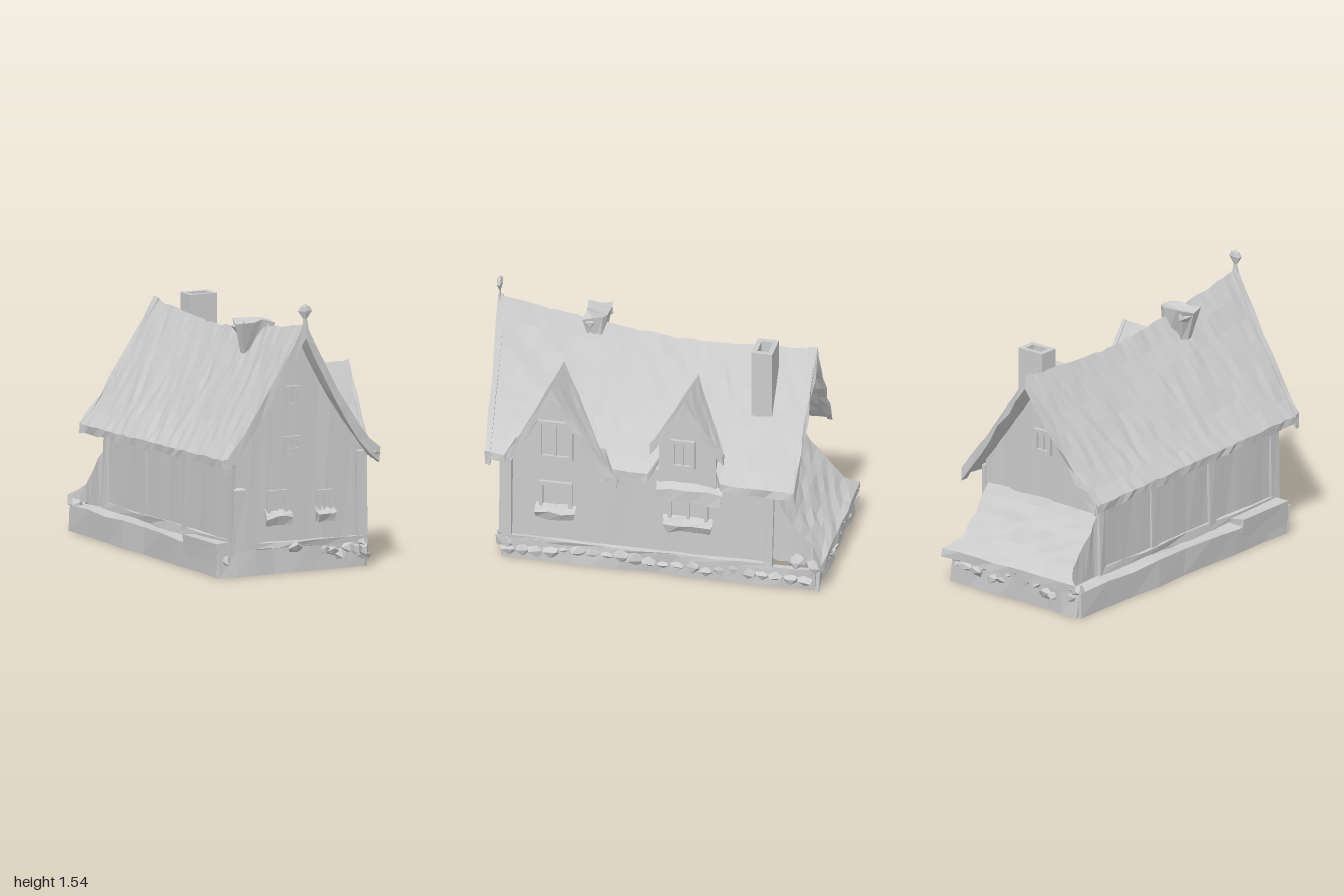
import * as THREE from 'three';

// Double sided: the house is a hollow shell, open underneath
const material = new THREE.MeshStandardMaterial({ color: 0xcccccc, flatShading: true, side: THREE.DoubleSide });
const lerp = THREE.MathUtils.lerp;

let seed = 7;
const rand = () => (seed = (seed * 16807) % 2147483647) / 2147483647;

// Position-based noise, so vertices that coincide move together
const noise = (x, y, z, k) => {
  const s = Math.sin(Math.round(x * 500) * 12.9 + Math.round(y * 500) * 78.2 + Math.round(z * 500) * 37.7 + k * 4.1) * 437.58;
  return s - Math.floor(s) - 0.5;
};

function add(parent, name, geometry, x = 0, y = 0, z = 0) {
  const mesh = new THREE.Mesh(geometry, material);
  mesh.name = name;
  mesh.position.set(x, y, z);
  parent.add(mesh);
  return mesh;
}

// Box grid whose vertices follow rule(u, v, top) -> [x, y, z], then roughened.
// openSides lists box sides left out (3 = bottom, 4 = front, 5 = back)
function shaped(nu, nv, rule, rough = 0.008, openSides = []) {
  const g = new THREE.BoxGeometry(1, 1, 1, nu, 1, nv);
  const index = Array.from(g.index.array);
  g.setIndex(g.groups.flatMap((s, i) => (openSides.includes(i) ? [] : index.slice(s.start, s.start + s.count))));
  g.clearGroups();
  const p = g.attributes.position;
  for (let i = 0; i < p.count; i++) {
    const [x, y, z] = rule(p.getX(i) + 0.5, p.getZ(i) + 0.5, p.getY(i) > 0);
    const dy = y === 0 ? 0 : noise(x, y, z, 2) * rough;
    p.setXYZ(i, x + noise(x, y, z, 1) * rough, y + dy, z + noise(x, y, z, 3) * rough);
  }
  g.computeVertexNormals();
  return g;
}

const block = (x0, x1, y0, y1, z0, z1, rough = 0.015, nu = 1, nv = 1, openSides = []) =>
  shaped(nu, nv, (u, v, top) => [lerp(x0, x1, u), top ? y1 : y0, lerp(z0, z1, v)], rough, openSides);

// Sagging main roof: height over the plan, more curved at the front right
const HALF = 0.485;
function roofY(x, z) {
  const ridge = 1.265 + 0.165 * Math.max(0, (z + 0.2) / 1.18) ** 1.6 + 0.03 * Math.max(0, (-z - 0.2) / 0.6);
  const eave = 0.65 + 0.03 * z;
  const s = Math.min(1, Math.abs(x) / HALF);
  const bend = x < 0 ? 1.11 : 1.17 + 0.17 * z;
  return eave + (ridge - eave) * (1 - s) ** bend;
}

// Dormers: ridge z, ridge height, eave ends (front z, back z) and heights, wall span
const dormers = [
  { c: 0.58, top: 1.12, zf: 0.83, yf: 0.68, zb: 0.2, yb: 0.59, wf: 0.8, wb: 0.27 },
  { c: -0.19, top: 1.13, zf: 0.01, yf: 0.84, zb: -0.41, yb: 0.82, wf: -0.03, wb: -0.36 },
];
function dormerSide(d, z) {
  return Math.min(1, (z - d.c) / ((z > d.c ? d.zf : d.zb) - d.c));
}
function dormerY(d, z) {
  return lerp(z > d.c ? d.yf : d.yb, d.top, (1 - dormerSide(d, z)) ** 1.1);
}

function roofSlab(z0, z1, thick, nv, lift = 0, rough = 0.008) {
  return shaped(14, nv, (u, v, top) => {
    const z = lerp(z0, z1, v);
    const open = dormers.some((d) => z > d.wb && z < d.wf);
    const x = (u - 0.5) * 2 * (u > 0.5 && open ? 0.4 : HALF);
    const lean = (1 - Math.abs(x) / HALF) * 0.03 * Math.sign(z) * (Math.abs(z) > 0.79);
    return [x, roofY(x, z) + (top ? lift : -thick), z + lean];
  }, rough);
}

// Angular rubble stone
function stone(parent, name, x, y, z, r) {
  const g = new THREE.IcosahedronGeometry(r, 0);
  const p = g.attributes.position;
  const id = rand() * 50;
  for (let i = 0; i < p.count; i++) {
    const k = 1 + 0.7 * noise(p.getX(i) * 9, p.getY(i) * 9, p.getZ(i) * 9, id);
    p.setXYZ(i, p.getX(i) * k, p.getY(i) * k, p.getZ(i) * k);
  }
  g.computeVertexNormals();
  add(parent, name, g, x, Math.max(y, r * 1.1), z).scale.set(1, 0.8, 1.15);
}

// Window facing +z: frame with a hole, pane, mullion and optional wedge-shaped planter
function windowUnit(parent, name, w, h, x, y, z, turn, planter) {
  const unit = new THREE.Group();
  unit.name = name;
  const rect = (Type, a, b) => {
    const s = new Type();
    s.moveTo(-a, -b); s.lineTo(a, -b); s.lineTo(a, b); s.lineTo(-a, b); s.closePath();
    return s;
  };
  const frame = rect(THREE.Shape, w / 2, h / 2);
  frame.holes.push(rect(THREE.Path, w / 2 - 0.022, h / 2 - 0.022));
  add(unit, 'frame', new THREE.ExtrudeGeometry(frame, { depth: 0.022, bevelEnabled: false }));
  add(unit, 'pane', new THREE.BoxGeometry(w * 0.9, h * 0.9, 0.008));
  add(unit, 'mullion', new THREE.BoxGeometry(0.014, h * 0.9, 0.03));
  if (planter) {
    add(unit, 'planter', shaped(3, 2, (u, v, top) => [
      (u - 0.5) * w * (top ? 1.25 : 1.05), -h / 2 + (top ? 0.06 - 0.04 * v : -0.025), v * (top ? 0.06 : 0.04),
    ], 0.02));
  }
  unit.position.set(x, y, z);
  unit.rotation.y = turn;
  parent.add(unit);
}

export function createModel() {
  const house = new THREE.Group();
  house.name = 'cottage';

  // Foundation ring, left ledge and raised block
  add(house, 'foundationRight', block(0.425, 0.45, 0, 0.13, -0.93, 0.87, 0.02, 1, 14, [3]));
  add(house, 'foundationFront', block(-0.49, 0.45, 0, 0.16, 0.845, 0.87, 0.02, 8, 1, [3]));
  add(house, 'foundationBack', block(-0.47, 0.45, 0, 0.15, -0.95, -0.925, 0.02, 8, 1, [3]));
  add(house, 'leftLedge', block(-0.49, -0.39, 0, 0.155, -0.94, 0.86, 0.02, 1, 8));
  add(house, 'raisedLedge', block(-0.495, -0.385, 0.05, 0.19, 0.45, 0.84, 0.02));

  // Rubble stones around the base
  const rubble = new THREE.Group();
  rubble.name = 'rubble';
  house.add(rubble);
  for (let i = 0; i < 22; i++) stone(rubble, 'stone', 0.43, 0.05 + rand() * 0.04, 0.83 - i * 0.081, 0.038 + rand() * 0.018);
  for (let i = 0; i < 6; i++) stone(rubble, 'stone', 0.18 + i * 0.05, 0.06 + rand() * 0.06, 0.845, 0.048);
  for (let i = 0; i < 14; i++) stone(rubble, 'stone', -0.42 + i * 0.064, 0.09 + rand() * 0.08, -0.935, 0.035 + rand() * 0.015);
  for (const [x, y, z] of [[-0.44, 0.1, 0.84], [0.42, 0.15, 0.85], [0.43, 0.15, -0.93], [-0.44, 0.15, -0.93], [0.43, 0.17, -0.82]]) {
    stone(rubble, 'cornerStone', x, y, z, 0.045);
  }
  stone(rubble, 'frontStone', -0.01, 0.14, 0.86, 0.045);

  // Hollow walls following the roof underside, and the back gable
  add(house, 'walls', shaped(12, 14, (u, v, top) => {
    const x = lerp(-0.39, 0.43, u), z = lerp(-0.68, 0.86, v);
    return [x, top ? roofY(x, z) - 0.04 : 0.1, z];
  }, 0.008, [3, 5]));
  add(house, 'backGable', shaped(12, 1, (u, v, top) => {
    const x = lerp(-0.39, 0.43, u);
    return [x, top ? roofY(x, -0.68) - 0.04 : 0.46, lerp(-0.685, -0.665, v)];
  }));

  // Corner posts, side posts and sill beams
  for (const z of [0.84, 0.3, -0.2, -0.66]) add(house, 'leftPost', block(-0.405, -0.38, 0.14, 0.64, z - 0.03, z + 0.03));
  for (const z of [0.84, -0.66]) add(house, 'rightPost', block(0.42, 0.45, 0.12, 0.63, z - 0.03, z + 0.03));
  add(house, 'frontPost', block(-0.4, -0.33, 0.14, 0.5, 0.85, 0.885));
  add(house, 'frontPost', block(0.38, 0.44, 0.14, 0.66, 0.85, 0.88));
  add(house, 'frontSill', block(-0.4, 0.44, 0.145, 0.18, 0.84, 0.885, 0.015, 6));
  add(house, 'leftSill', block(-0.41, -0.38, 0.16, 0.2, -0.68, 0.86, 0.015, 1, 8));
  add(house, 'rightSill', block(0.42, 0.455, 0.11, 0.14, -0.68, 0.86, 0.015, 1, 8));

  // Main roof with bargeboards at both gables
  add(house, 'roof', roofSlab(-0.805, 0.95, 0.045, 34, 0, 0.011));
  add(house, 'frontBargeboard', roofSlab(0.925, 0.96, 0.08, 1, 0.008));
  add(house, 'backBargeboard', roofSlab(-0.815, -0.79, 0.06, 1, 0.006, 0.02));
  for (const s of [-1, 1]) stone(house, 'eaveEnd', s * 0.455, 0.65, 0.935, 0.034);

  // Gabled dormers on the right slope
  for (const d of dormers) {
    const dormer = new THREE.Group();
    dormer.name = 'dormer';
    house.add(dormer);
    const valley = (z) => 0.14 + 0.3 * dormerSide(d, z);
    add(dormer, 'dormerWall', shaped(2, 8, (u, v, top) => {
      const z = lerp(d.wb, d.wf, v);
      return [lerp(Math.min(valley(z) + 0.03, 0.4), 0.435, u), top ? dormerY(d, z) - 0.03 : 0.54, z];
    }, 0.004, [3]));
    const cover = (x1, depth, thick, lift) => shaped(depth ? 1 : 4, 12, (u, v, top) => {
      const z = v < 0.5 ? lerp(d.zb, d.c, v * 2) : lerp(d.c, d.zf, v * 2 - 1);
      return [lerp(depth ? x1 - depth : valley(z), x1, u), dormerY(d, z) + (top ? lift : -thick), z];
    }, 0.006);
    add(dormer, 'dormerRoof', cover(0.48, 0, 0.035, 0));
    add(dormer, 'dormerBargeboard', cover(0.487, 0.025, 0.06, 0.005));
  }
  add(house, 'dormerLedge', shaped(1, 4, (u, v, top) => [
    lerp(0.41, 0.475, u), (top ? 0.6 : 0.53) - 0.04 * u, lerp(-0.4, -0.02, v),
  ], 0.02));

  // Windows
  windowUnit(house, 'frontLeftWindow', 0.13, 0.17, -0.12, 0.39, 0.86, 0, true);
  windowUnit(house, 'frontRightWindow', 0.1, 0.15, 0.18, 0.38, 0.86, 0, true);
  windowUnit(house, 'middleWindow', 0.1, 0.09, -0.02, 0.73, 0.86, 0, false);
  windowUnit(house, 'atticWindow', 0.09, 0.12, -0.02, 1.0, 0.86, 0, false);
  windowUnit(house, 'backWindow', 0.12, 0.14, 0, 0.87, -0.685, Math.PI, false);
  windowUnit(house, 'sideWindow', 0.19, 0.2, 0.43, 0.41, 0.56, Math.PI / 2, true);
  windowUnit(house, 'sideWindow', 0.23, 0.18, 0.43, 0.41, -0.2, Math.PI / 2, true);
  windowUnit(house, 'dormerWindow', 0.2, 0.24, 0.435, 0.78, 0.56, Math.PI / 2, false);
  windowUnit(house, 'dormerWindow', 0.14, 0.18, 0.435, 0.78, -0.17, Math.PI / 2, false);

  // Lean-to against the back wall, flaring out near its low edge
  add(house, 'leanTo', shaped(8, 8, (u, v, top) => {
    const half = 0.4 + 0.085 * Math.max(0, 1 - v * 4);
    return [0.01 + (u - 0.5) * 2 * half, top ? 0.2 + 0.33 * v ** 1.2 : 0.15, lerp(-0.985, -0.68, v)];
  }, 0.015, [3, 4]));

  // Hollow square chimney on the right slope
  const flue = new THREE.Shape();
  flue.moveTo(-0.085, -0.06); flue.lineTo(0.085, -0.06); flue.lineTo(0.085, 0.06); flue.lineTo(-0.085, 0.06); flue.closePath();
  const hole = new THREE.Path();
  hole.moveTo(-0.055, -0.032); hole.lineTo(0.055, -0.032); hole.lineTo(0.055, 0.032); hole.lineTo(-0.055, 0.032); hole.closePath();
  flue.holes.push(hole);
  const chimney = add(house, 'chimney', new THREE.ExtrudeGeometry(flue, { depth: 0.41, bevelEnabled: false }), 0.145, 0.95, -0.575);
  chimney.rotation.x = -Math.PI / 2;

  // Small rough stack on the ridge, wider at the top
  add(house, 'ridgeStack', shaped(3, 2, (u, v, top) => [
    -0.04 + (u - 0.5) * (top ? 0.2 : 0.13), top ? 1.36 : 1.2, 0.43 + (v - 0.5) * (top ? 0.12 : 0.07),
  ], 0.035));
  for (const [x, z] of [[-0.11, 0.4], [0.03, 0.45]]) stone(house, 'stackStone', x, 1.335, z, 0.04);

  // Finial on the front ridge
  const profile = [[0, 0], [0.028, 0], [0.012, 0.09], [0.045, 0.135], [0.03, 0.16], [0, 0.175]].map(([r, y]) => new THREE.Vector2(r, y));
  const finial = add(house, 'finial', new THREE.LatheGeometry(profile, 6), 0, 1.365, 0.98);
  finial.scale.z = 0.4;
  return house;
}
